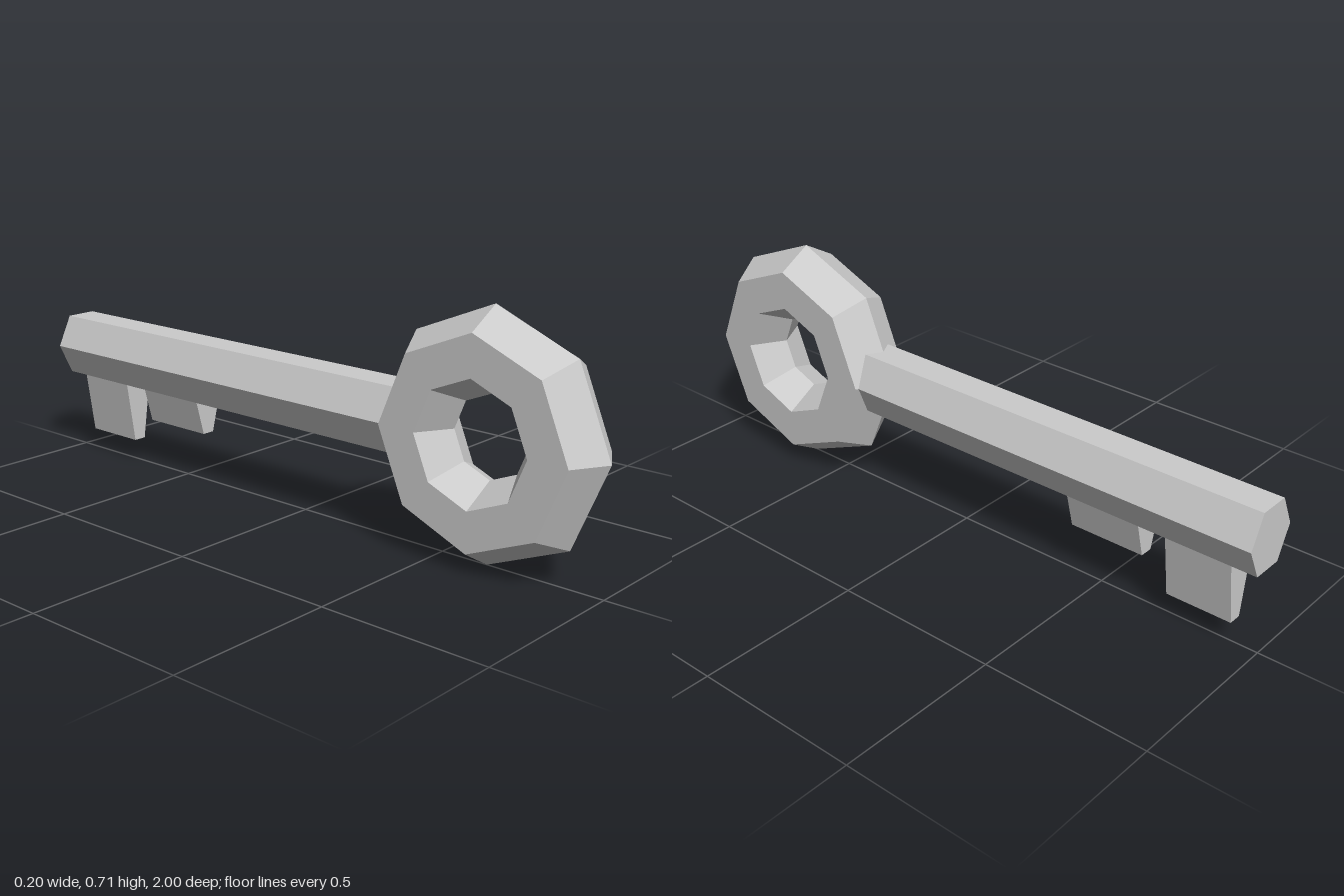
import * as THREE from 'three';

const material = new THREE.MeshStandardMaterial({ color: 0xcccccc, flatShading: true });
const CENTRE_Y = 0.354;

// Prism with an (x, y) cross-section running from zBack to zFront
function prism(name, points, zBack, zFront) {
  const shape = new THREE.Shape(points.map(([x, y]) => new THREE.Vector2(x, y)));
  const geometry = new THREE.ExtrudeGeometry(shape, { depth: zFront - zBack, bevelEnabled: false });
  const mesh = new THREE.Mesh(geometry, material);
  mesh.name = name;
  mesh.position.z = zBack;
  return mesh;
}

export function createModel() {
  const key = new THREE.Group();
  key.name = 'key';

  // Octagonal ring handle with a hexagonal section
  const bow = new THREE.Mesh(new THREE.TorusGeometry(0.236, 0.118, 6, 8), material);
  bow.name = 'bow';
  bow.rotation.y = Math.PI / 2;
  bow.position.set(0, CENTRE_Y, 0.646);
  key.add(bow);

  // Six-sided shaft, its front end buried in the ring
  const r = 0.094, flat = 0.048;
  const top = CENTRE_Y + r, bottom = CENTRE_Y - r;
  key.add(prism('shaft', [
    [r, CENTRE_Y], [flat, top], [-flat, top],
    [-r, CENTRE_Y], [-flat, bottom], [flat, bottom],
  ], -1, 0.42));

  // Tapered teeth under the shaft
  const tooth = (name, low, zBack, zFront) => key.add(prism(name, [
    [flat, bottom], [-flat, bottom], [-0.02, low], [0.02, low],
  ], zBack, zFront));
  tooth('shortTooth', 0.155, -0.64, -0.405);
  tooth('longTooth', 0.07, -0.925, -0.725);

  return key;
}
